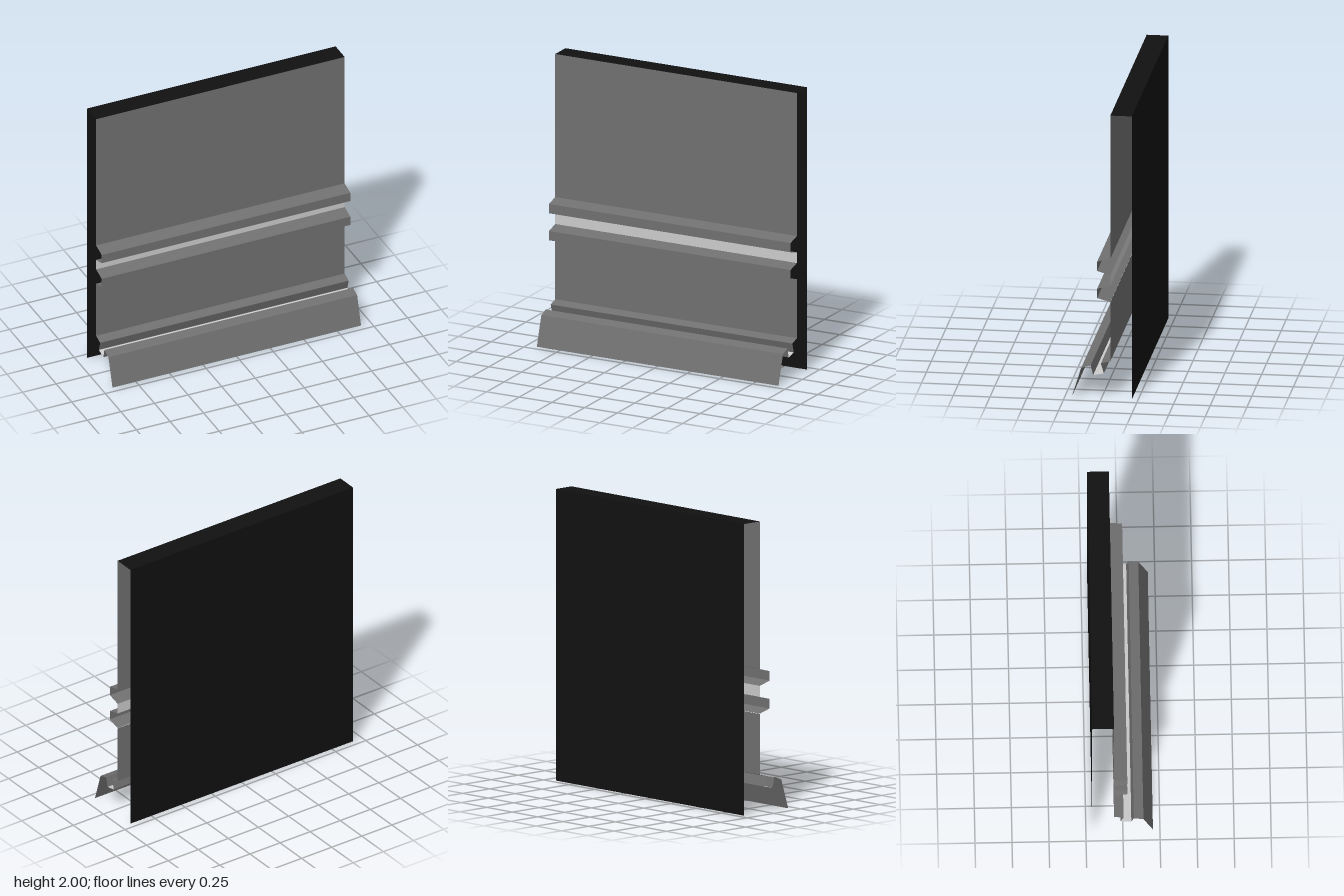
import * as THREE from 'three';

const WIDTH = 1.85;

const material = (color) => new THREE.MeshStandardMaterial({ color, side: THREE.DoubleSide, flatShading: true });

// Open folded sheet: a [z, y] profile swept straight across the width
function foldedSheet(name, profile, mat) {
  const indexed = new THREE.PlaneGeometry(WIDTH, 1, 1, profile.length - 1);
  const pos = indexed.attributes.position;
  for (let i = 0; i < pos.count; i++) {
    const [z, y] = profile[Math.floor(i / 2)];
    pos.setXYZ(i, pos.getX(i), y, z);
  }
  const geometry = indexed.toNonIndexed();
  geometry.computeVertexNormals();
  const mesh = new THREE.Mesh(geometry, mat);
  mesh.name = name;
  return mesh;
}

export function createModel() {
  const group = new THREE.Group();
  group.name = 'profiledPanel';

  const dark = material(0x111111);
  const grey = material(0x707070);
  const light = material(0xcccccc);

  const back = -0.207, face = -0.06, ridge = 0.03;

  // Dark backing board, folded forward over the top edge
  group.add(foldedSheet('backPanel', [[back, 0], [back, 2], [face, 2]], dark));

  // Flat front sheets above and below the ridges
  group.add(foldedSheet('upperFace', [[face, 2], [face, 0.987]], grey));
  group.add(foldedSheet('lowerFace', [[face, 0.679], [face, 0.263]], grey));

  // Two matching ridges with sloped top and underside
  [['upperRidge', 0.987], ['lowerRidge', 0.796]].forEach(([name, top]) => {
    group.add(foldedSheet(name, [
      [face, top], [ridge, top - 0.024], [ridge, top - 0.09], [face, top - 0.115],
    ], grey));
  });

  // Light strip recessed between the ridges
  group.add(foldedSheet('lightStrip', [[face, 0.872], [face, 0.796]], light));

  // Sill lip, light drip channel and sloping flap
  group.add(foldedSheet('sillLip', [[face, 0.263], [0.005, 0.244], [-0.016, 0.175]], grey));
  group.add(foldedSheet('channelFloor', [[-0.016, 0.175], [0.057, 0.16]], light));
  group.add(foldedSheet('dripFlap', [[0.057, 0.16], [0.074, 0.228], [0.139, 0.207], [0.203, 0]], grey));

  return group;
}
